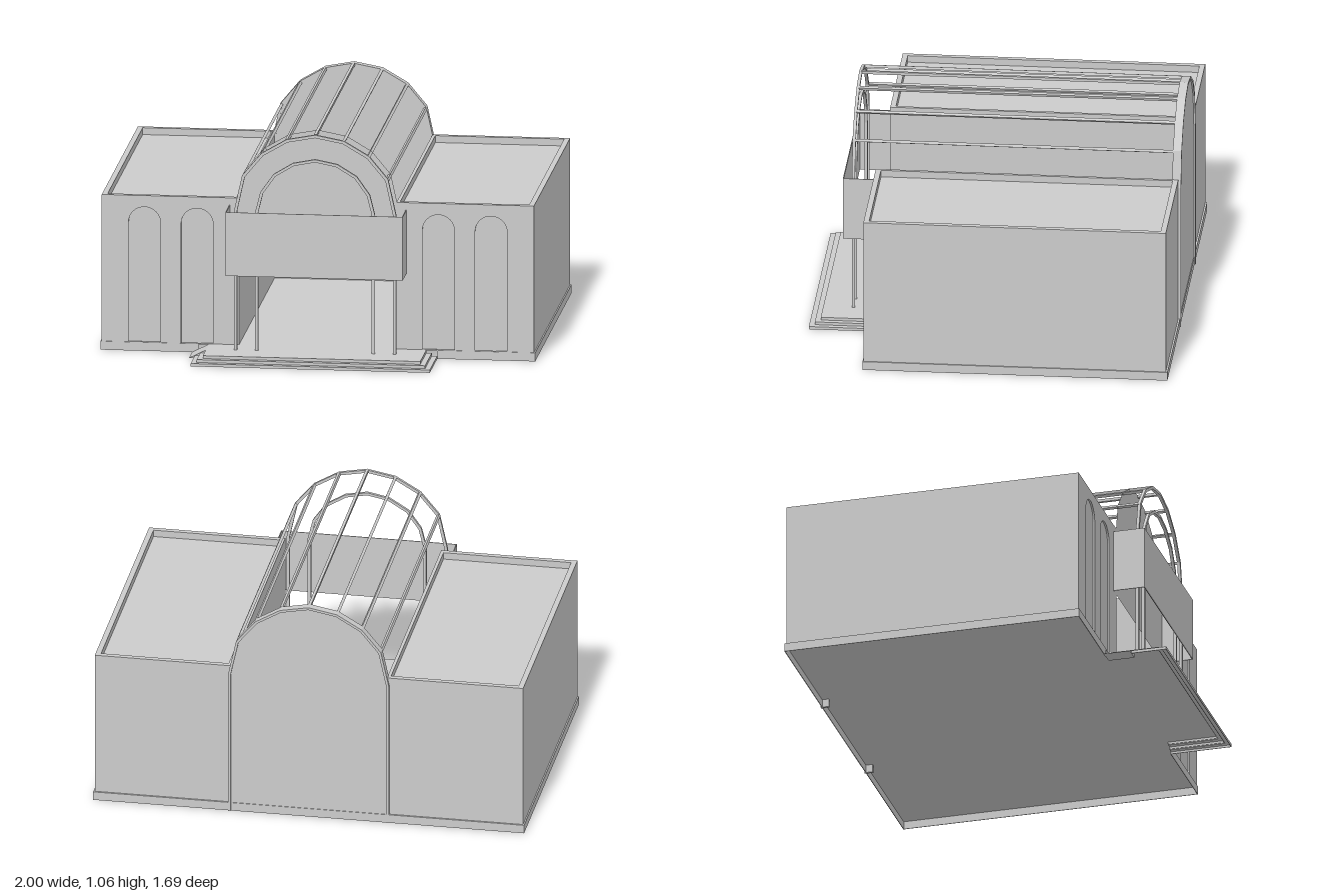
import * as THREE from 'three';

const grey = new THREE.MeshStandardMaterial({ color: 0xcccccc, flatShading: true });

function add(parent, name, geometry) {
  const mesh = new THREE.Mesh(geometry, grey);
  mesh.name = name;
  parent.add(mesh);
  return mesh;
}

// Box given by its min and max corners
function box(parent, name, x0, x1, y0, y1, z0, z1) {
  const mesh = add(parent, name, new THREE.BoxGeometry(x1 - x0, y1 - y0, z1 - z0));
  mesh.position.set((x0 + x1) / 2, (y0 + y1) / 2, (z0 + z1) / 2);
  return mesh;
}

function extrude(parent, name, shape, z0, z1) {
  const mesh = add(parent, name, new THREE.ExtrudeGeometry(shape, { depth: z1 - z0, bevelEnabled: false, curveSegments: 8 }));
  mesh.position.z = z0;
  return mesh;
}

// Full arch outline, left foot to right foot, from the points of its right half (crown first)
const mirrorArch = (half) => [
  ...half.slice(1).reverse().map(([x, y]) => [-x, y]),
  ...half,
].map(([x, y]) => new THREE.Vector2(x, y));

const OUTER = [[0, 1.057], [0.132, 1.032], [0.248, 0.964], [0.336, 0.858], [0.373, 0.69]];
const INNER = [[0, 0.942], [0.102, 0.922], [0.192, 0.867], [0.252, 0.782], [0.275, 0.69]];

// Arched band with straight legs down to footY
function archBand(half, width, footY) {
  const foot = half[half.length - 1][0];
  const outer = mirrorArch([...half, [foot, footY]]);
  const k = 1 - width / foot;
  const inner = mirrorArch([...half.map(([x, y]) => [x * k, 0.69 + (y - 0.69) * k]), [foot * k, footY]]);
  return new THREE.Shape([...outer, ...inner.reverse()]);
}

// Wing with recessed roof, parapet and arched blind windows
function wing(side) {
  const g = new THREE.Group();
  g.name = side > 0 ? 'leftWing' : 'rightWing';
  const xs = (a, b) => (side > 0 ? [a, b] : [-b, -a]);
  const [x0, x1, y0, y1, z0, z1] = [0.362, 0.994, 0.04, 0.727, -0.832, 0.555];
  const zf = z1 - 0.008, roof = 0.695;
  box(g, 'wingBody', ...xs(x0, x1), y0, roof, z0, zf);
  box(g, 'outerParapet', ...xs(x1 - 0.025, x1), roof, y1, z0, zf);
  box(g, 'innerParapet', ...xs(x0, x0 + 0.015), roof, y1, z0, zf);
  box(g, 'frontParapet', ...xs(x0 + 0.015, x1 - 0.025), roof, y1, z1 - 0.025, zf);
  box(g, 'backParapet', ...xs(x0 + 0.015, x1 - 0.025), roof, y1, z0, z0 + 0.025);

  const [a, b] = xs(x0, x1);
  const facade = new THREE.Shape();
  facade.moveTo(a, y0).lineTo(b, y0).lineTo(b, y1).lineTo(a, y1).closePath();
  for (const c of [0.555, 0.797]) {
    const r = 0.074, cx = c * side, hole = new THREE.Path();
    hole.moveTo(cx - r, y0 + 0.002).lineTo(cx + r, y0 + 0.002).lineTo(cx + r, 0.6);
    hole.absarc(cx, 0.6, r, 0, Math.PI, false);
    hole.closePath();
    facade.holes.push(hole);
  }
  extrude(g, 'windowFacade', facade, zf, z1);
  return g;
}

export function createModel() {
  const model = new THREE.Group();
  model.name = 'hall';

  // Floor slab on a thin skirting, hollow underneath
  const t = 0.003;
  box(model, 'floor', -1, 1, 0.04 - t, 0.04, -0.84, 0.558);
  box(model, 'backSkirting', -1, 1, 0, 0.04 - t, -0.84, -0.84 + t);
  for (const s of [-1, 1]) {
    box(model, 'sideSkirting', s * (1 - t / 2) - t / 2, s * (1 - t / 2) + t / 2, 0, 0.04 - t, -0.84 + t, 0.558);
    box(model, 'frontSkirting', s * 0.773 - 0.224, s * 0.773 + 0.224, 0, 0.04 - t, 0.558 - t, 0.558);
  }
  model.add(wing(1), wing(-1));

  // Entrance steps: thin risers and treads, hollow underneath
  const rise = 0.04 / 3, going = 0.025;
  for (let i = 0; i < 3; i++) {
    const x = 0.55 - i * going, z = 0.845 - i * going, y = i * rise, top = y + rise;
    box(model, 'frontRiser', -x, x, y, top - t, z - t, z);
    const depth = i < 2 ? going : z - 0.558;
    box(model, 'frontTread', -x, x, top - t, top, z - depth, z);
    for (const s of [-1, 1]) {
      const edge = s * (x - t / 2);
      box(model, 'sideRiser', edge - t / 2, edge + t / 2, y, top - t, 0.558, z - t);
      if (i < 2) {
        const mid = s * (x - going / 2);
        box(model, 'sideTread', mid - going / 2, mid + going / 2, top - t, top, 0.558, z - going);
      }
    }
  }

  // Side ramp onto the steps
  const ramp = new THREE.Shape();
  ramp.moveTo(-0.578, 0).lineTo(-0.5, 0).lineTo(-0.5, 0.04).closePath();
  extrude(model, 'sideRamp', ramp, 0.558, 0.68);

  // Back wall with its projecting arched rim
  const wall = new THREE.Shape(mirrorArch([...OUTER, [0.373, 0.04]]));
  extrude(model, 'backWall', wall, -0.837, -0.808);
  extrude(model, 'backRim', archBand(OUTER, 0.012, 0), -0.845, -0.805);

  // Front arches on slender posts
  extrude(model, 'outerArch', archBand(OUTER, 0.014, 0.04), 0.65, 0.664);
  extrude(model, 'innerArch', archBand(INNER, 0.014, 0.04), 0.65, 0.664);

  // Panel closing the vault above the entrance, set back in line with the wings
  const panel = new THREE.Shape(mirrorArch([...OUTER, [0.362, 0.69], [0.362, 0.395]]));
  add(model, 'archPanel', new THREE.ShapeGeometry(panel)).position.z = 0.555;

  // Entrance canopy: thin fascia with side returns, open above and below
  box(model, 'canopyFront', -0.408, 0.408, 0.395, 0.693, 0.698, 0.702);
  for (const s of [-1, 1]) {
    box(model, 'canopySide', s * 0.406 - 0.002, s * 0.406 + 0.002, 0.395, 0.693, 0.555, 0.698);
  }

  // Vault rods along the hall
  for (const p of mirrorArch(OUTER.slice(0, 4))) {
    const rod = add(model, 'vaultRod', new THREE.BoxGeometry(0.013, 0.013, 1.46));
    rod.position.set(p.x * 0.985, p.y - 0.006, -0.075);
    rod.rotation.z = Math.atan2(p.y - 0.69, p.x);
  }
  return model;
}
